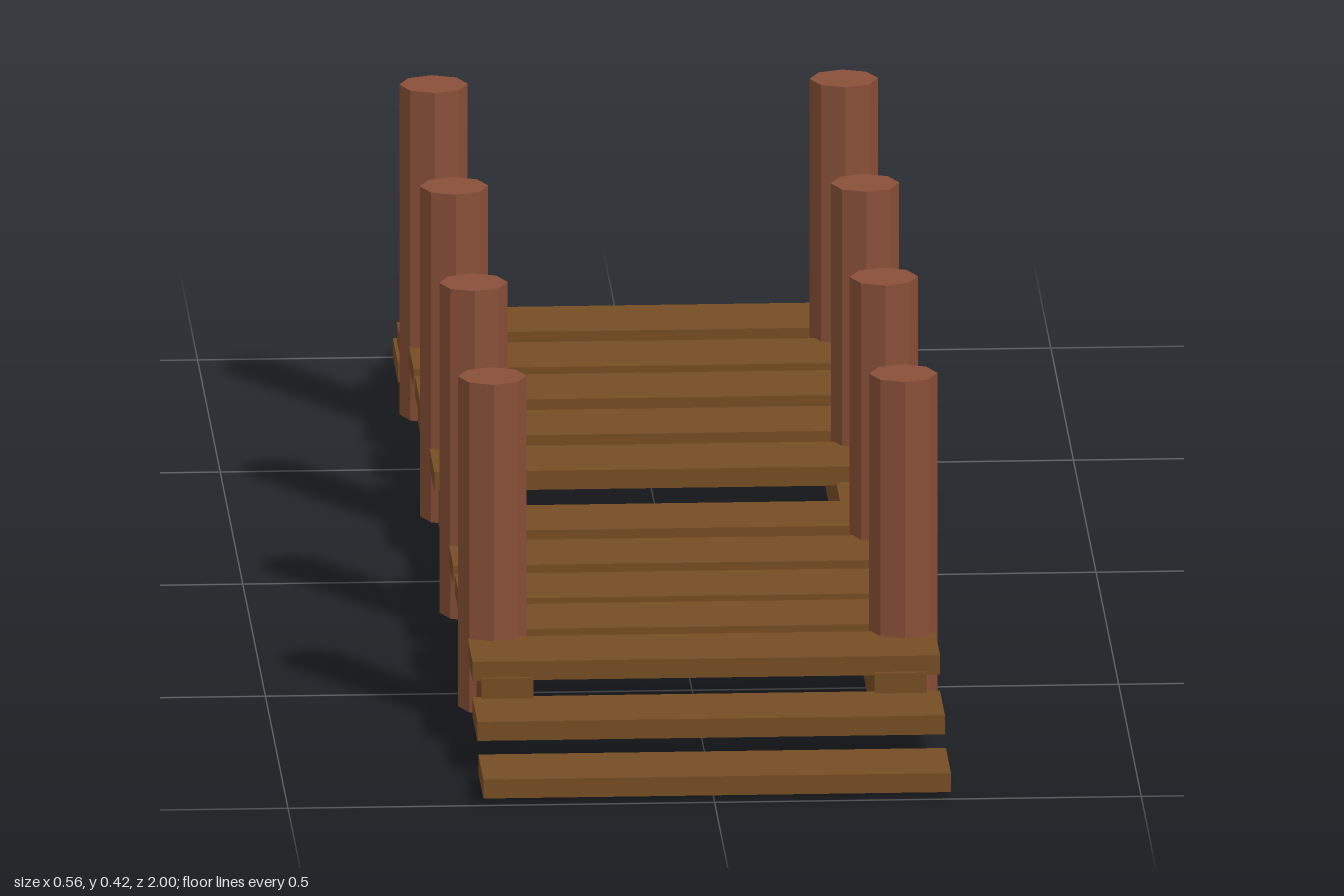
import * as THREE from 'three';

export function createModel() {
  const group = new THREE.Group();
  group.name = 'footbridge';
  const plankWood = new THREE.MeshStandardMaterial({ color: 0x754d23 });
  plankWood.name = 'plankWood';
  const postWood = new THREE.MeshStandardMaterial({ color: 0x8a5038, flatShading: true });
  postWood.name = 'postWood';

  const add = (geometry, material, name, x, y, z) => {
    const mesh = new THREE.Mesh(geometry, material);
    mesh.name = name;
    mesh.position.set(x, y, z);
    group.add(mesh);
  };

  // Cross planks; the outer ones step down to the ground at each end
  const plank = new THREE.BoxGeometry(0.548, 0.023, 0.112);
  const deckY = 0.0975;
  const deckZ = [-0.761, -0.603, -0.46, -0.301, -0.142, 0.122, 0.276, 0.424, 0.561, 0.704];
  deckZ.forEach((z) => add(plank, plankWood, 'deckPlank', 0.003, deckY, z));
  const steps = [[0.0115, -0.944], [0.054, -0.861], [0.054, 0.812], [0.02, 0.944]];
  steps.forEach(([y, z]) => add(plank, plankWood, 'stepPlank', 0.003, y, z));

  // Long beams under the deck
  const beam = new THREE.BoxGeometry(0.061, 0.07, 1.575);
  for (const side of [-1, 1]) add(beam, plankWood, 'beam', side * 0.2305, 0.055, -0.0215);

  // Eight-sided posts along both edges
  const post = new THREE.CylinderGeometry(0.04, 0.04, 0.4, 8);
  const leftZ = [-0.672, -0.206, 0.212, 0.643];
  const rightZ = [-0.672, -0.218, 0.212, 0.63];
  leftZ.forEach((z) => add(post, postWood, 'leftPost', 0.24, 0.22, z));
  rightZ.forEach((z) => add(post, postWood, 'rightPost', -0.241, 0.22, z));

  return group;
}
